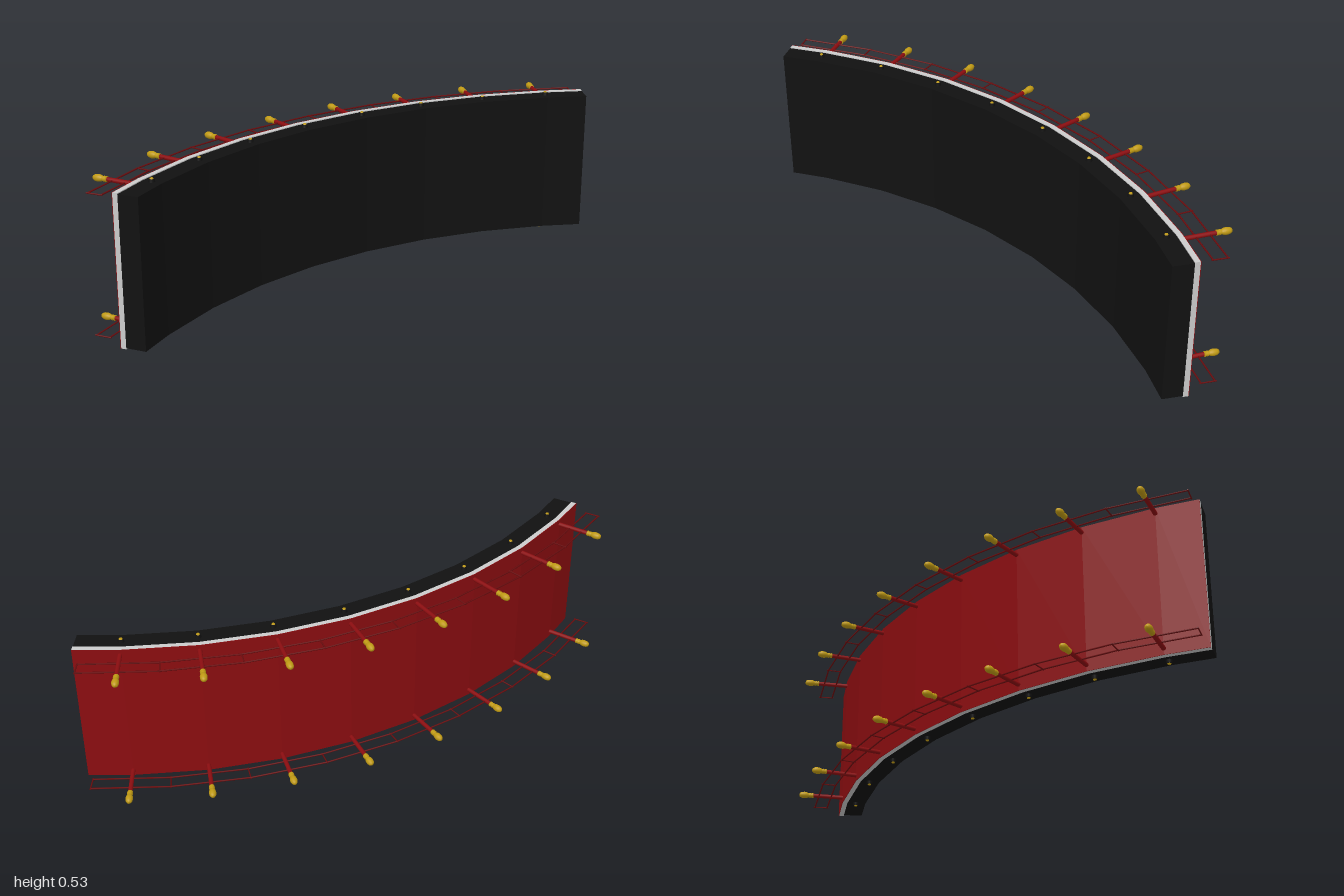
import * as THREE from 'three';

const CX = 0.339, CZ = 1.684;                 // centre of the arc in plan
const RAD = Math.PI / 180, STEP = 7.68 * RAD; // angle between bracket stations
const STATIONS = [-5, -4, -3, -2, -1, 0, 1, 2].map((i) => i * STEP);
const PANEL_ANGLES = [-42.75 * RAD, ...STATIONS, 20 * RAD];
const JOINTS = [...STATIONS.map((a) => a - STEP / 2), 2.5 * STEP];
const LEVELS = [0.033, 0.505];                // lower and upper bracket rows

const mat = (color) => new THREE.MeshStandardMaterial({ color });

const polar = (a, r, y = 0) => new THREE.Vector3(CX + r * Math.sin(a), y, CZ - r * Math.cos(a));

// Faceted curved slab between two radii and two heights
function band(name, rIn, rOut, y0, y1, material) {
  const outer = PANEL_ANGLES.map((a) => polar(a, rOut));
  const inner = PANEL_ANGLES.map((a) => polar(a, rIn)).reverse();
  const shape = new THREE.Shape([...outer, ...inner].map((p) => new THREE.Vector2(p.x, -p.z)));
  const geo = new THREE.ExtrudeGeometry(shape, { depth: y1 - y0, bevelEnabled: false });
  geo.rotateX(-Math.PI / 2).translate(0, y0, 0);
  const mesh = new THREE.Mesh(geo, material);
  mesh.name = name;
  return mesh;
}

// Thin round bar between two points
function bar(name, a, b, radius, material) {
  const dir = b.clone().sub(a);
  const mesh = new THREE.Mesh(new THREE.CylinderGeometry(radius, radius, dir.length(), 6), material);
  mesh.position.copy(a).add(b).multiplyScalar(0.5);
  mesh.quaternion.setFromUnitVectors(new THREE.Vector3(0, 1, 0), dir.normalize());
  mesh.name = name;
  return mesh;
}

export function createModel() {
  const group = new THREE.Group();
  const black = mat(0x111111), grey = mat(0xcccccc), red = mat(0x8b0d10);
  const darkRed = mat(0x6a0c0e), gold = mat(0xc09a14);

  // Curved panel: black front, grey core, red back skin
  group.add(
    band('frontPanel', 1.8, 1.87, 0.016, 0.522, black),
    band('panelCore', 1.87, 1.888, 0.012, 0.525, grey),
    band('backSkin', 1.888, 1.89, 0.012, 0.525, red),
  );

  // Bracket arm and knobbed gold tip, pointing outwards along -z
  const armGeo = new THREE.CylinderGeometry(0.0075, 0.0075, 0.13, 12)
    .rotateX(-Math.PI / 2).translate(0, 0, -0.055);
  const tipGeo = new THREE.LatheGeometry([
    [0, 0.112], [0.009, 0.112], [0.01, 0.116], [0.008, 0.12], [0.01, 0.124], [0.008, 0.128],
    [0.009, 0.132], [0.0115, 0.138], [0.0125, 0.147], [0.011, 0.157], [0.007, 0.164], [0, 0.166],
  ].map(([r, y]) => new THREE.Vector2(r, y)), 14).rotateX(-Math.PI / 2);

  // Stud on the panel edge: black collar with a gold cap
  const collarGeo = new THREE.CylinderGeometry(0.0095, 0.0115, 0.012, 12);
  const capGeo = new THREE.CylinderGeometry(0.005, 0.007, 0.004, 10);

  for (const a of STATIONS) {
    for (const y of LEVELS) {
      const bracket = new THREE.Group();
      bracket.name = 'bracket';
      const arm = new THREE.Mesh(armGeo, red);
      arm.name = 'bracketArm';
      const tip = new THREE.Mesh(tipGeo, gold);
      tip.name = 'bracketTip';
      bracket.add(arm, tip);
      bracket.position.copy(polar(a, 1.89, y));
      bracket.rotation.y = -a;
      group.add(bracket);
    }
    for (const top of [true, false]) {
      const stud = new THREE.Group();
      stud.name = 'edgeStud';
      const collar = new THREE.Mesh(collarGeo, black);
      collar.name = 'studCollar';
      const cap = new THREE.Mesh(capGeo, gold);
      cap.name = 'studCap';
      cap.position.y = 0.007;
      stud.add(collar, cap);
      stud.position.copy(polar(a, 1.837, top ? 0.526 : 0.011));
      if (!top) stud.rotation.x = Math.PI;
      group.add(stud);
    }
  }

  // Two rails with cross rungs along each bracket row
  for (const y of LEVELS) {
    for (const r of [1.938, 1.985]) {
      for (let i = 0; i < JOINTS.length - 1; i++) {
        group.add(bar('rail', polar(JOINTS[i], r, y), polar(JOINTS[i + 1], r, y), 0.0028, darkRed));
      }
    }
    for (const a of JOINTS) {
      group.add(bar('rung', polar(a, 1.933, y), polar(a, 1.99, y), 0.0024, darkRed));
    }
  }
  return group;
}
